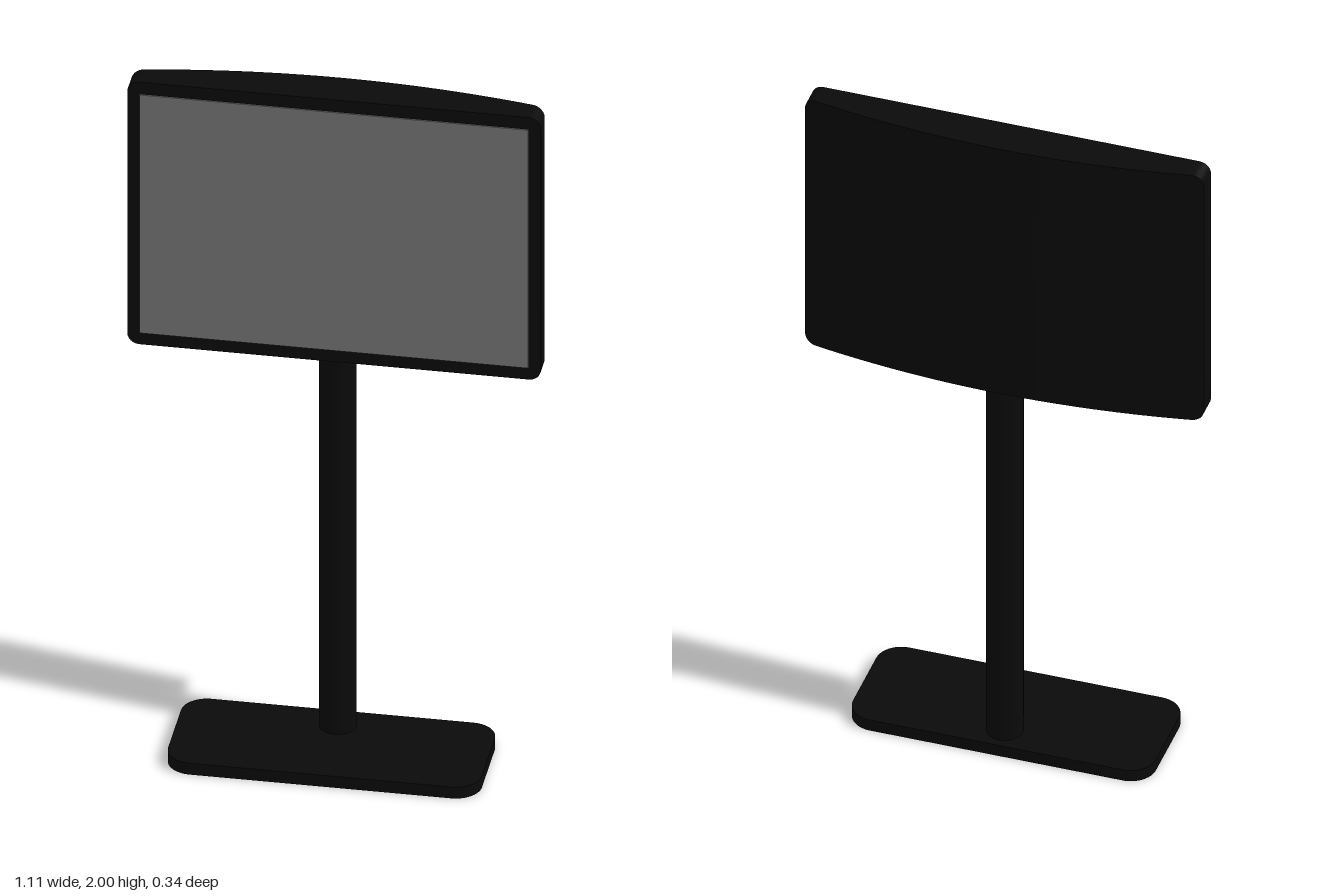
import * as THREE from 'three';
import { toCreasedNormals } from 'three/addons/utils/BufferGeometryUtils.js';

const black = new THREE.MeshStandardMaterial({ color: 0x0a0a0a });
const glass = new THREE.MeshStandardMaterial({ color: 0x777777 });

function part(name, geometry, material, x = 0, y = 0, z = 0) {
  const mesh = new THREE.Mesh(geometry, material);
  mesh.name = name;
  mesh.position.set(x, y, z);
  return mesh;
}

// Rounded rectangle outline centred on the origin
function roundedRect(w, d, r) {
  const s = new THREE.Shape();
  const x = w / 2 - r, y = d / 2 - r;
  s.absarc(x, y, r, 0, Math.PI / 2);
  s.absarc(-x, y, r, Math.PI / 2, Math.PI);
  s.absarc(-x, -y, r, Math.PI, Math.PI * 1.5);
  s.absarc(x, -y, r, Math.PI * 1.5, Math.PI * 2);
  s.closePath();
  return s;
}

// Display housing: rectangular sections along x, rounded corners, bowed back
function housingGeometry() {
  const half = 0.556, bottom = 1.19, top = 2, r = 0.032;
  const front = -0.039, edgeBack = -0.099, bow = 0.055;
  const corner = 6, body = 32, xs = [];
  for (let i = 0; i < corner; i++) xs.push(-half + r * (1 - Math.cos((i / corner) * Math.PI / 2)));
  for (let i = 0; i <= body; i++) xs.push((half - r) * (2 * i / body - 1));
  for (let i = corner - 1; i >= 0; i--) xs.push(half - r * (1 - Math.cos((i / corner) * Math.PI / 2)));

  const pos = [], idx = [];
  for (const x of xs) {
    const t = Math.max(0, Math.abs(x) - (half - r));
    const inset = r - Math.sqrt(Math.max(0, r * r - t * t));
    const back = edgeBack - bow * (1 - (x / half) ** 2);
    pos.push(x, bottom + inset, front, x, top - inset, front,
      x, top - inset, back, x, bottom + inset, back);
  }
  for (let i = 0; i < xs.length - 1; i++) {
    for (let k = 0; k < 4; k++) {
      const a = i * 4 + k, b = i * 4 + (k + 1) % 4;
      idx.push(a, a + 4, b + 4, a, b + 4, b);
    }
  }
  const e = (xs.length - 1) * 4;
  idx.push(0, 1, 2, 0, 2, 3, e, e + 2, e + 1, e, e + 3, e + 2);
  const g = new THREE.BufferGeometry();
  g.setAttribute('position', new THREE.Float32BufferAttribute(pos, 3));
  g.setIndex(idx);
  return toCreasedNormals(g, 0.5);
}

export function createModel() {
  const group = new THREE.Group();
  group.name = 'displayStand';

  // Flat foot plate with rounded corners
  const plate = new THREE.ExtrudeGeometry(roundedRect(0.844, 0.336, 0.07),
    { depth: 0.035, bevelEnabled: false, curveSegments: 10 });
  plate.rotateX(-Math.PI / 2);
  group.add(part('base', toCreasedNormals(plate, 0.6), black));

  // Round column set towards the rear of the plate
  group.add(part('column', new THREE.CylinderGeometry(0.05, 0.05, 1.17, 32), black, 0, 0.615, -0.095));

  // Housing and the screen standing slightly proud of it
  group.add(part('housing', housingGeometry(), black));
  group.add(part('screen', new THREE.BoxGeometry(1.046, 0.736, 0.008), glass, 0, 1.595, -0.039));
  return group;
}
